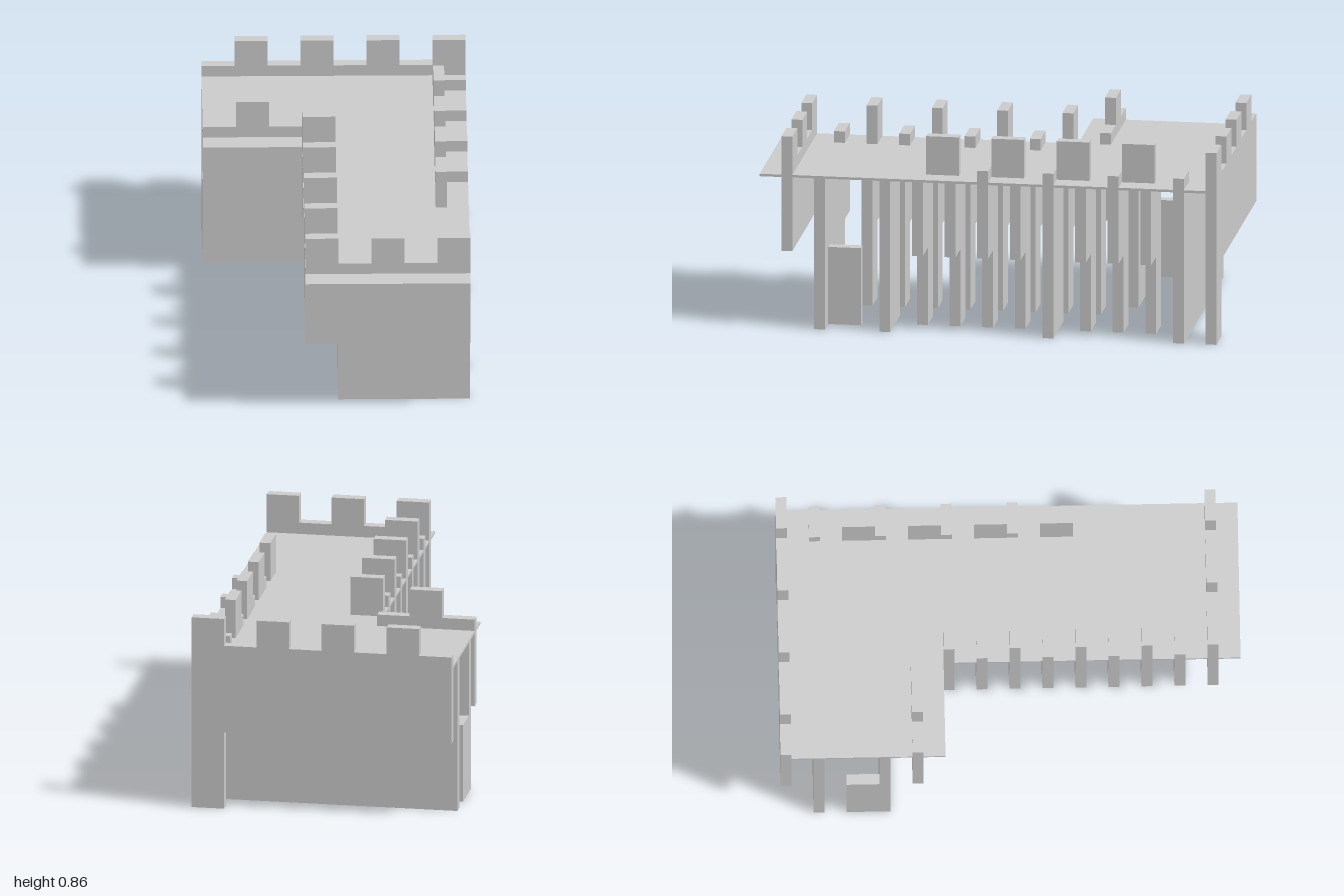
import * as THREE from 'three';

const U = 1 / 7;          // wall grid cell
const T = U / 3;          // slab thickness
const MID = 0.345, LOW = 0.737, HIGH = 0.858;
const DECK = 0.675, DECK_TOP = 0.686;

export function createModel() {
  const model = new THREE.Group();
  model.name = 'fortWithWing';
  const material = new THREE.MeshStandardMaterial({ color: 0xcccccc, flatShading: true });

  // Box given by its limits on each axis
  function block(name, x0, x1, y0, y1, z0, z1) {
    const mesh = new THREE.Mesh(new THREE.BoxGeometry(x1 - x0, y1 - y0, z1 - z0), material);
    mesh.position.set((x0 + x1) / 2, (y0 + y1) / 2, (z0 + z1) / 2);
    mesh.name = name;
    model.add(mesh);
  }

  // Slab facing the front; x in cells, z of its rear face in cells
  const slab = (name, c0, c1, y0, y1, cz) => block(name, c0 * U, c1 * U, y0, y1, cz * U, cz * U + T);

  // Crenellated wall, one extruded outline; merlons sit at alternate cells
  function battlement(name, c0, c1, cz, highFirst, legCell) {
    const s = new THREE.Shape();
    s.moveTo(c0 * U, MID);
    for (let c = c0, high = highFirst; c < c1; c++, high = !high) {
      const y = high ? HIGH : LOW;
      s.lineTo(c * U, y);
      s.lineTo((c + 1) * U, y);
    }
    if (legCell !== undefined) {
      s.lineTo(c1 * U, 0);
      s.lineTo(legCell * U, 0);
      s.lineTo(legCell * U, MID);
    } else s.lineTo(c1 * U, MID);
    const mesh = new THREE.Mesh(new THREE.ExtrudeGeometry(s, { depth: T, bevelEnabled: false }), material);
    mesh.position.z = cz * U;
    mesh.name = name;
    model.add(mesh);
  }

  // L-shaped deck
  const plan = new THREE.Shape([
    [-4, 7], [4, 7], [4, -7], [-1, -7], [-1, 2], [-4, 2],
  ].map(([x, y]) => new THREE.Vector2(x * U, y * U)));
  const deck = new THREE.Mesh(
    new THREE.ExtrudeGeometry(plan, { depth: DECK_TOP - DECK, bevelEnabled: false }), material);
  deck.rotation.x = -Math.PI / 2;
  deck.position.y = DECK;
  deck.name = 'deck';
  model.add(deck);

  // Crenellated outer walls
  battlement('frontBattlement', -1, 4, 6, true);
  battlement('wingBattlement', -4, -1, -3, false);
  battlement('backBattlement', -4, 4, -7, false, 3);

  // Recessed walls under the deck
  slab('frontLowerWall', 0, 4, 0, DECK, 5);
  slab('wingLowerWall', -4, 0, 0, DECK, -4);
  slab('backLowerWall', -4, 4, 0, DECK, -6);

  // Right row of slabs, alternately low and high
  for (let c = -2; c <= 5; c++) {
    slab('rightUpperSlab', -1, 0, MID, c % 2 === 0 ? HIGH : LOW, c);
  }
  for (let c = -3; c <= 4; c++) slab('rightLowerSlab', 0, 1, 0, DECK, c);

  // Left row: overhanging slabs, with full-height buttresses
  for (let c = -5; c <= 3; c++) {
    const buttress = c === -2 || c === 3;
    slab(buttress ? 'leftButtress' : 'leftUpperSlab', 3, 4, buttress ? 0 : MID, DECK, c);
    slab('leftLowerSlab', 2, 3, 0, DECK, c);
  }

  // Left parapet: low slabs and turned merlons
  for (const c of [-6, -4, -2, 0]) slab('leftParapetSlab', 3, 4, DECK, LOW, c);
  for (const c of [-5, -3, -1, 1]) {
    block('leftMerlon', 3 * U, 3 * U + T, DECK_TOP, HIGH, c * U, (c + 1) * U);
  }

  // Short wall pieces standing at the two open corners
  block('frontCornerPiece', 3 * U, 3 * U + T, 0, MID, 4 * U, 5 * U);
  block('wingCornerPiece', -4 * U, -4 * U + T, 0, MID, -5 * U, -4 * U);

  return model;
}
